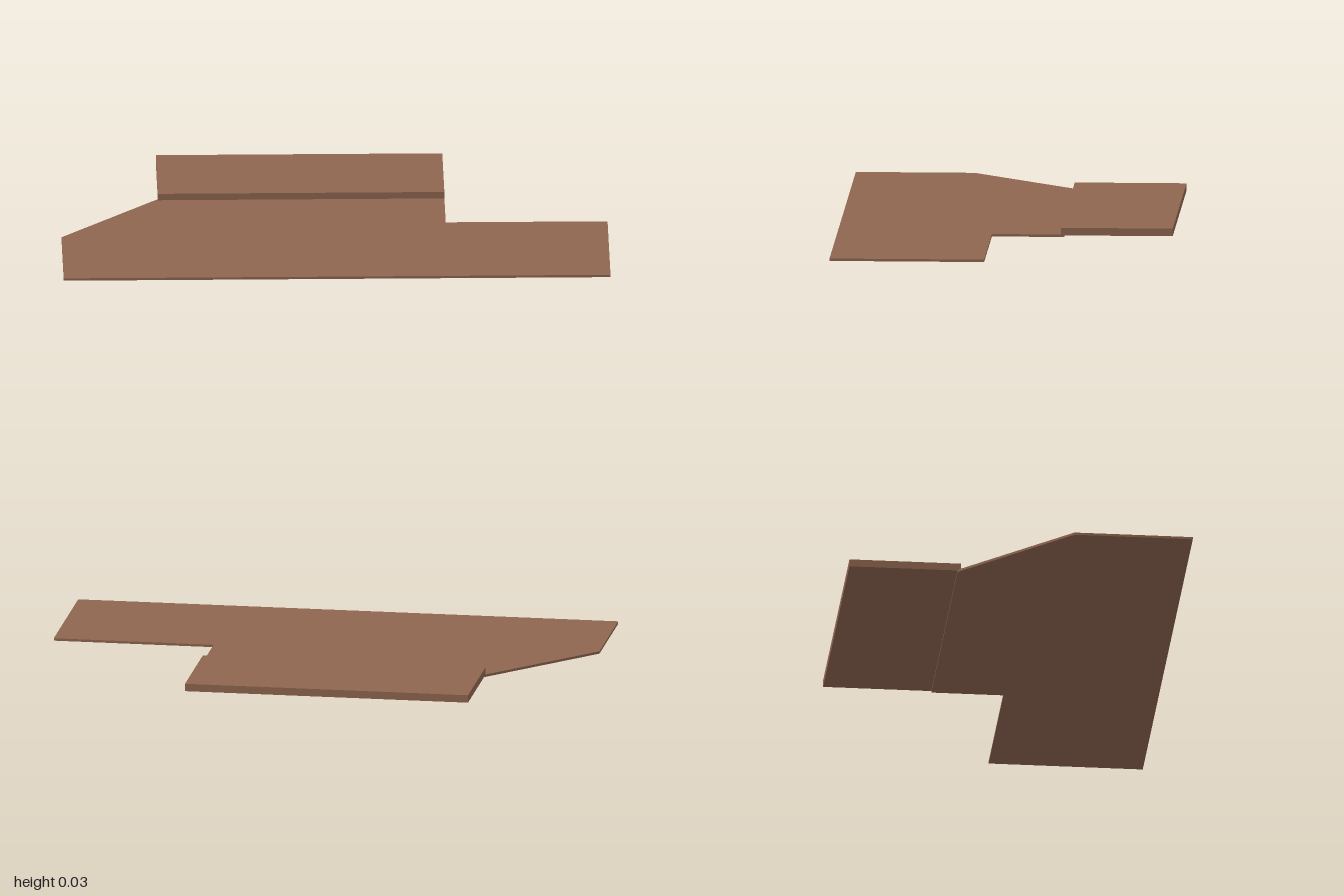
import * as THREE from 'three';

// Flat slab from a plan outline of [x, z] points, between two heights
function slab(name, outline, bottom, top, material) {
  const shape = new THREE.Shape(outline.map(([x, z]) => new THREE.Vector2(x, -z)));
  const geometry = new THREE.ExtrudeGeometry(shape, { depth: top - bottom, bevelEnabled: false });
  geometry.rotateX(-Math.PI / 2);
  geometry.translate(0, bottom, 0);
  const mesh = new THREE.Mesh(geometry, material);
  mesh.name = name;
  return mesh;
}

export function createModel() {
  const group = new THREE.Group();
  group.name = 'steppedFloor';
  const brown = new THREE.MeshStandardMaterial({ color: 0x8f6650 });
  brown.name = 'woodBrown';

  // Main floor with its cut corner
  group.add(slab('mainFloor', [
    [-1, 0.613], [0.408, 0.613], [0.408, -0.218], [-0.64, -0.218], [-1, 0.178],
  ], 0, 0.009, brown));

  // Side floor, level with the main floor
  group.add(slab('sideFloor', [
    [0.408, 0.613], [1, 0.613], [1, 0.047], [0.408, 0.047],
  ], 0, 0.009, brown));

  // Raised platform along the back, overlapping the floor edge
  group.add(slab('raisedPlatform', [
    [-0.64, -0.206], [0.408, -0.206], [0.408, -0.615], [-0.64, -0.615],
  ], 0.006, 0.034, brown));

  return group;
}
